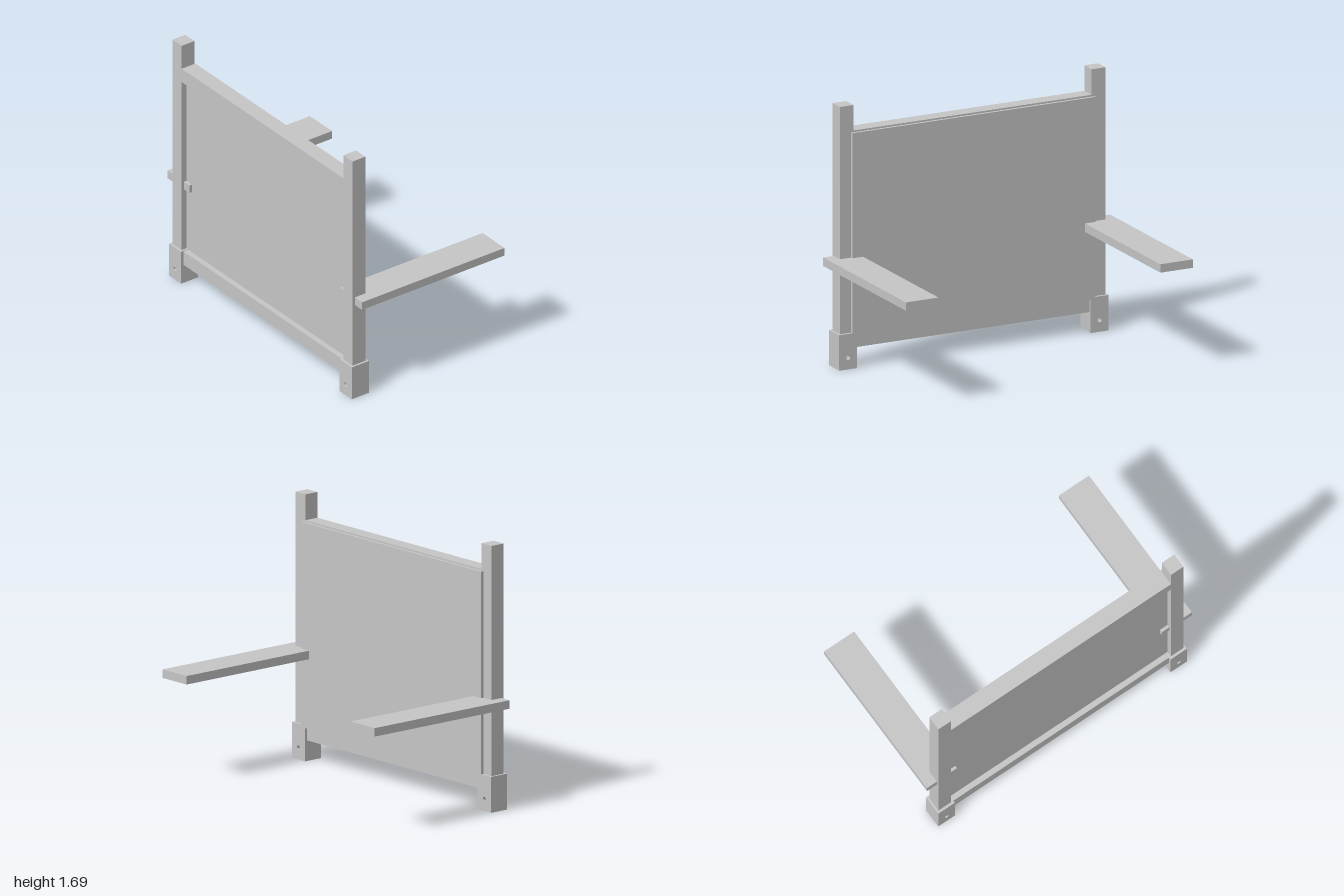
import * as THREE from 'three';

export function createModel() {
  const model = new THREE.Group();
  const grey = new THREE.MeshStandardMaterial({ color: 0xc7c7c7 });

  // Box given by its limits on each axis
  function block(name, [x0, x1], [y0, y1], [z0, z1], parent = model) {
    const mesh = new THREE.Mesh(new THREE.BoxGeometry(x1 - x0, y1 - y0, z1 - z0), grey);
    mesh.position.set((x0 + x1) / 2, (y0 + y1) / 2, (z0 + z1) / 2);
    mesh.name = name;
    parent.add(mesh);
    return mesh;
  }

  const frameX = [-0.55, -0.452];
  const sleeveX = [-0.567, -0.435];
  const wall = 0.017, sleeveH = 0.228, sleeveW = 0.125;

  // Sleeve wall facing along x, pierced by a bolt hole
  const plate = new THREE.Shape();
  plate.moveTo(-sleeveW / 2, 0);
  plate.lineTo(sleeveW / 2, 0);
  plate.lineTo(sleeveW / 2, sleeveH);
  plate.lineTo(-sleeveW / 2, sleeveH);
  plate.closePath();
  const hole = new THREE.Path();
  hole.absarc(0, 0.075, 0.014, 0, Math.PI * 2, true);
  plate.holes.push(hole);
  const plateGeo = new THREE.ExtrudeGeometry(plate, { depth: wall, bevelEnabled: false, curveSegments: 20 });
  plateGeo.rotateY(Math.PI / 2);

  for (const [label, s] of [['front', 1], ['back', -1]]) {
    const span = (a, b) => (s > 0 ? [a, b] : [-b, -a]);
    block(label + 'Post', frameX, [0.13, 1.69], span(0.83, 0.925));
    block(label + 'Arm', [-0.533, 0.566], [0.657, 0.711], span(0.773, 1));

    // Hollow foot sleeve, open at the bottom
    const sleeve = new THREE.Group();
    sleeve.name = label + 'FootSleeve';
    const zIn = 0.8765 - sleeveW / 2, zOut = 0.8765 + sleeveW / 2;
    for (const x of [sleeveX[0], sleeveX[1] - wall]) {
      const face = new THREE.Mesh(plateGeo, grey);
      face.name = 'drilledWall';
      face.position.set(x, 0, s * 0.8765);
      sleeve.add(face);
    }
    const inner = [sleeveX[0] + wall, sleeveX[1] - wall];
    block('innerWall', inner, [0, sleeveH], span(zIn, zIn + wall), sleeve);
    block('outerWall', inner, [0, sleeveH], span(zOut - wall, zOut), sleeve);
    model.add(sleeve);
  }

  // Rails between the posts
  block('topRail', frameX, [1.43, 1.526], [-0.83, 0.83]);
  block('bottomRail', frameX, [0.13, 0.225], [-0.82, 0.82]);

  // Panel lapping the frame, with a thick infill set between posts and rails
  block('panel', [frameX[1], -0.434], [0.212, 1.515], [-0.847, 0.847]);
  block('panelInfill', [-0.514, frameX[1]], [0.225, 1.43], [-0.83, 0.83]);

  return model;
}
